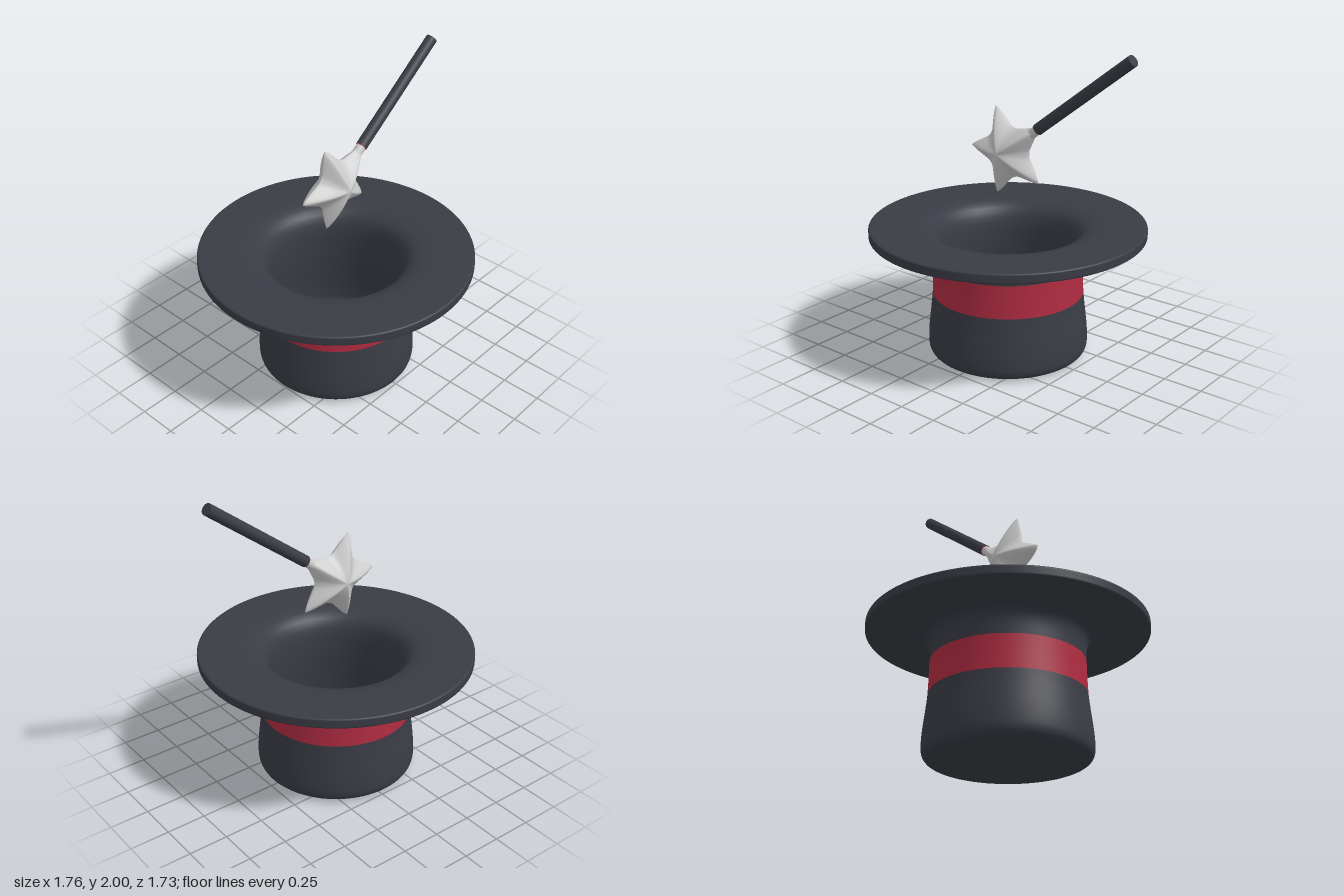
import * as THREE from 'three';

const CENTER_X = -0.02;
const paint = (color) => new THREE.MeshStandardMaterial({ color, roughness: 0.8 });
const felt = paint(0x3a3c45);
const red = paint(0xb02c41);
const grey = paint(0xcccccc);

function named(name, geometry, material) {
  const mesh = new THREE.Mesh(geometry, material);
  mesh.name = name;
  return mesh;
}

// Smooth surface of revolution; the path runs up the outside and down the inside
function revolve(name, path, material) {
  return named(name, new THREE.LatheGeometry(path.getPoints(10), 96), material);
}

// Puffy five-pointed star: rings shrink towards a domed centre on both faces
function starGeometry(outer, inner, depth) {
  const around = 120, rings = 16, pos = [], index = [];
  const reach = (a) => {
    const k = Math.abs((((a * 5) / Math.PI) % 2 + 2) % 2 - 1); // 1 at tips, 0 in valleys
    const t = (k * Math.PI) / 5;
    // straight star edge, softened at the tip and in the valley
    const w = Math.PI / 5;
    const edge = (outer * inner * Math.sin(w)) / (inner * Math.sin(t) + outer * Math.sin(w - t));
    const valley = Math.max(0, 1 - t / 0.25) ** 2 * 0.012;
    const tip = Math.max(0, 1 - (w - t) / 0.12) ** 2 * 0.016;
    return edge + valley - tip;
  };
  for (let j = 0; j <= 2 * rings; j++) {
    const u = Math.abs(j - rings) / rings; // 0 at the rim, 1 at either pole
    const s = 1 - u ** 1.4;
    const z = depth * Math.sign(rings - j) * (1 - s ** 1.5) ** 0.9;
    for (let i = 0; i < around; i++) {
      const a = (i / around) * Math.PI * 2;
      const r = reach(a + Math.PI / 5) * s;
      pos.push(r * Math.cos(a), r * Math.sin(a), z);
    }
  }
  for (let j = 0; j < 2 * rings; j++) {
    for (let i = 0; i < around; i++) {
      const n = (i + 1) % around;
      const a = j * around + i, b = j * around + n;
      const c = a + around, d = b + around;
      if (j > 0) index.push(a, d, b);
      if (j < 2 * rings - 1) index.push(a, c, d);
      else index.push(a, c, b);
    }
  }
  const g = new THREE.BufferGeometry();
  g.setAttribute('position', new THREE.Float32BufferAttribute(pos, 3));
  g.setIndex(index);
  g.computeVertexNormals();
  // collapsed pole points share the axis normal
  const nor = g.attributes.normal;
  for (let i = 0; i < around; i++) {
    nor.setXYZ(i, 0, 0, 1);
    nor.setXYZ(2 * rings * around + i, 0, 0, -1);
  }
  return g;
}

function createHat() {
  const hat = new THREE.Group();
  hat.name = 'hat';

  // Lower crown with rounded base
  const crown = new THREE.Path();
  crown.moveTo(0, 0.005);
  crown.lineTo(0.3, 0.004);
  crown.lineTo(0.41, 0.004);
  crown.bezierCurveTo(0.48, 0.006, 0.507, 0.025, 0.507, 0.09);
  crown.bezierCurveTo(0.507, 0.19, 0.485, 0.3, 0.477, 0.41);

  // Red ribbon, flush with the crown
  const band = new THREE.Path();
  band.moveTo(0.477, 0.41);
  band.bezierCurveTo(0.474, 0.48, 0.472, 0.55, 0.472, 0.62);

  // Flare, brim and hollow inside
  const brim = new THREE.Path();
  brim.moveTo(0.472, 0.62);
  brim.bezierCurveTo(0.472, 0.74, 0.478, 0.785, 0.58, 0.791);
  brim.lineTo(0.7, 0.791);
  brim.lineTo(0.845, 0.791);
  brim.bezierCurveTo(0.86, 0.791, 0.865, 0.795, 0.865, 0.805);
  brim.lineTo(0.865, 0.84);
  brim.bezierCurveTo(0.865, 0.851, 0.86, 0.855, 0.845, 0.855);
  brim.lineTo(0.7, 0.855);
  brim.lineTo(0.62, 0.854);
  brim.bezierCurveTo(0.46, 0.848, 0.41, 0.8, 0.41, 0.62);
  brim.bezierCurveTo(0.41, 0.42, 0.445, 0.3, 0.445, 0.13);
  brim.bezierCurveTo(0.445, 0.085, 0.43, 0.068, 0.38, 0.066);
  brim.lineTo(0.25, 0.066);
  brim.lineTo(0, 0.066);

  hat.add(
    revolve('crown', crown, felt),
    revolve('band', band, red),
    revolve('brimAndLining', brim, felt)
  );
  hat.position.x = CENTER_X;
  return hat;
}

function createWand() {
  const wand = new THREE.Group();
  wand.name = 'wand';
  wand.position.set(CENTER_X, 1.315, 0);

  const star = named('star', starGeometry(0.305, 0.152, 0.115), grey);
  star.rotation.z = 0.02;
  wand.add(star);

  // Handle leaves the star through a valley, rising to the model's left
  const handle = new THREE.Group();
  handle.name = 'handle';
  handle.rotation.z = THREE.MathUtils.degToRad(36.9 - 90);
  const rod = (name, radius, from, to, material) => {
    const mesh = named(name, new THREE.CylinderGeometry(radius, radius, to - from, 32), material);
    mesh.position.y = (from + to) / 2;
    handle.add(mesh);
  };
  rod('collar', 0.031, 0.12, 0.3, grey);
  rod('collarRing', 0.036, 0.283, 0.286, red);
  rod('stick', 0.036, 0.286, 1.094, felt);
  wand.add(handle);
  return wand;
}

export function createModel() {
  const model = new THREE.Group();
  model.name = 'hatAndWand';
  model.add(createHat(), createWand());
  return model;
}
